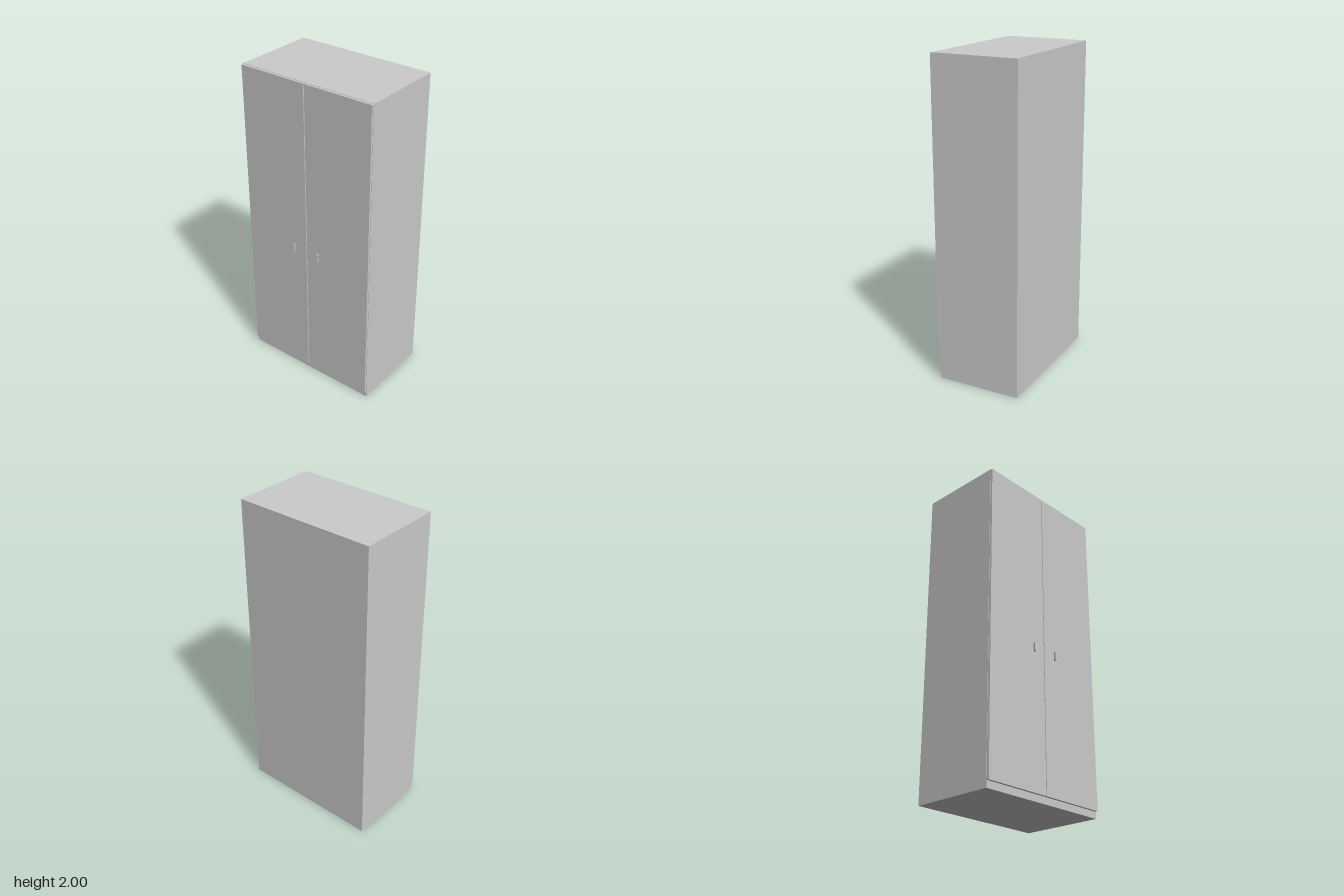
import * as THREE from 'three';

const W = 0.905, BACK = -0.28, FRONT = 0.249, T = 0.016;

export function createModel() {
  const model = new THREE.Group();
  model.name = 'wardrobe';
  const material = new THREE.MeshStandardMaterial({ color: 0xcccccc });

  // Adds a board given its minimum and maximum corners
  function board(name, x0, x1, y0, y1, z0, z1, parent = model) {
    const mesh = new THREE.Mesh(new THREE.BoxGeometry(x1 - x0, y1 - y0, z1 - z0), material);
    mesh.position.set((x0 + x1) / 2, (y0 + y1) / 2, (z0 + z1) / 2);
    mesh.name = name;
    parent.add(mesh);
    return mesh;
  }

  // Carcass
  const h = W / 2, inner = h - T;
  board('leftSide', inner, h, 0, 2, BACK, FRONT);
  board('rightSide', -h, -inner, 0, 2, BACK, FRONT);
  board('topPanel', -inner, inner, 2 - T, 2, BACK, FRONT);
  board('backPanel', -inner, inner, 0.06, 2 - T, BACK, BACK + 0.01);
  board('base', -inner, inner, 0, 0.06, BACK, FRONT);

  // Shelves and hanging rail behind the doors
  for (const y of [0.21, 0.4, 0.585, 1.52]) {
    board('shelf', -inner, inner, y - T / 2, y + T / 2, BACK + 0.01, FRONT - 0.02);
  }
  const rail = new THREE.Mesh(new THREE.CylinderGeometry(0.013, 0.013, 2 * inner, 24), material);
  rail.name = 'hangingRail';
  rail.rotation.z = Math.PI / 2;
  rail.position.set(0, 1.41, -0.015);
  model.add(rail);

  // Handle profile: flat foot, chamfered ends; x runs outward from the door
  const grip = new THREE.Shape([
    [0, 0.002], [0.006, 0], [0.014, 0.007], [0.014, 0.053], [0.006, 0.06], [0, 0.058],
  ].map(([x, y]) => new THREE.Vector2(x, y)));
  const gripGeometry = new THREE.ExtrudeGeometry(grip, { depth: 0.006, bevelEnabled: false });
  gripGeometry.translate(0, -0.03, -0.003);
  gripGeometry.rotateY(-Math.PI / 2);
  // Narrow the grip where it meets the outer edge
  const p = gripGeometry.attributes.position;
  for (let i = 0; i < p.count; i++) {
    p.setX(i, p.getX(i) * (p.getZ(i) < 0.003 ? 0.7 : p.getZ(i) < 0.01 ? 0.8 : 1.6));
  }
  gripGeometry.computeVertexNormals();

  // Doors with their handles
  for (const side of [1, -1]) {
    const door = new THREE.Group();
    door.name = side > 0 ? 'leftDoor' : 'rightDoor';
    const edges = [side * 0.0025, side * 0.451].sort((a, b) => a - b);
    board('doorPanel', edges[0], edges[1], 0.042, 1.998, 0.25, 0.265, door);
    const handle = new THREE.Mesh(gripGeometry, material);
    handle.name = 'handle';
    handle.position.set(side * 0.09, 0.915, 0.265);
    door.add(handle);
    model.add(door);
  }
  return model;
}
